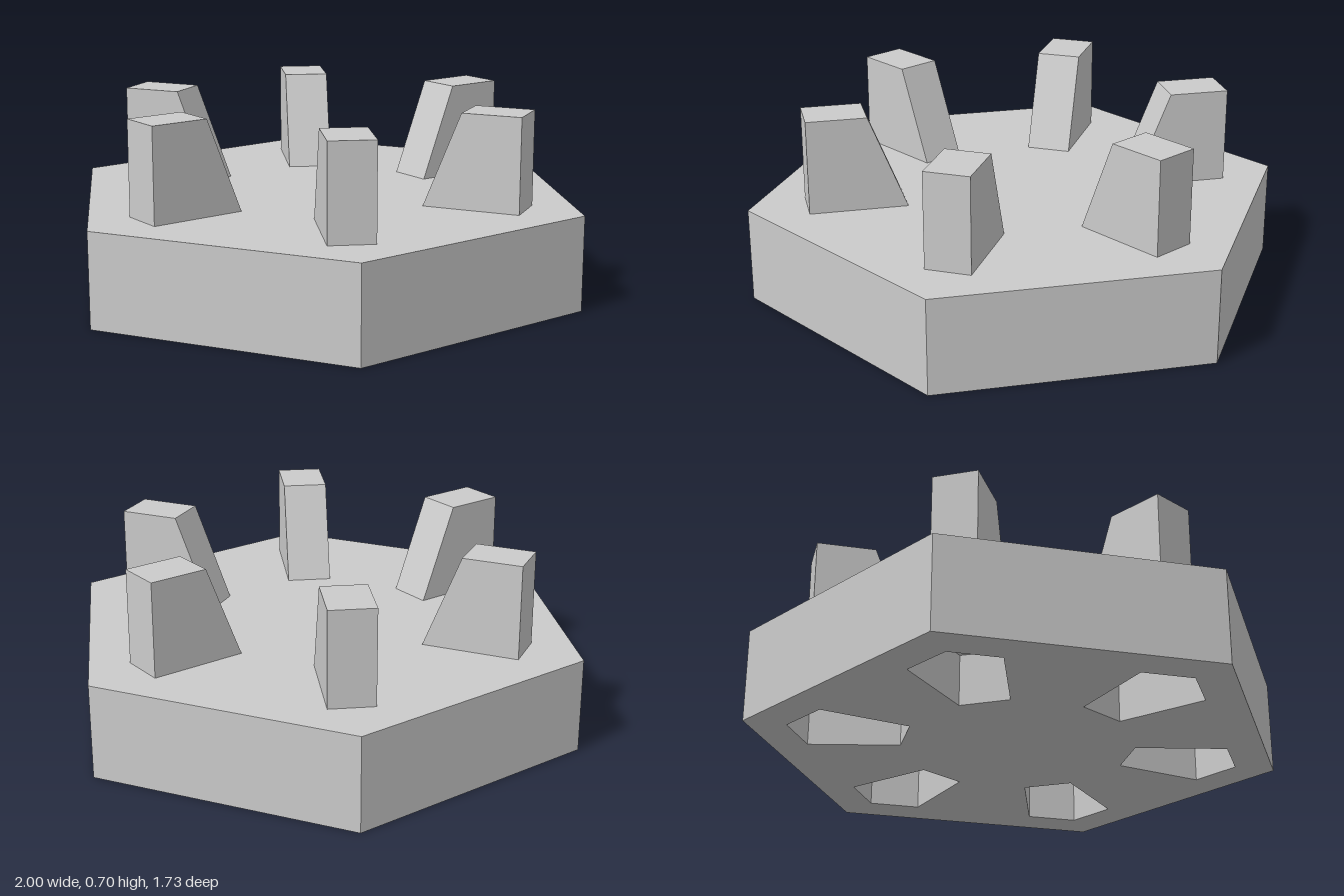
import * as THREE from 'three';

const HEIGHT = 0.35, POCKET_DEPTH = 0.19, TOOTH_TOP = 0.7, TOOTH_WIDTH = 0.166;
const material = new THREE.MeshStandardMaterial({ color: 0xcccccc, flatShading: true });

// Rotate a plan outline (x, z) about the centre
const turn = (points, angle) =>
  points.map((p) => p.clone().rotateAround(new THREE.Vector2(), angle));

// Vertical walls along a closed plan outline; reversing the outline faces them inward
function walls(points, y0, y1) {
  const position = [];
  points.forEach((a, i) => {
    const b = points[(i + 1) % points.length];
    position.push(a.x, y0, a.y, a.x, y1, a.y, b.x, y1, b.y);
    position.push(a.x, y0, a.y, b.x, y1, b.y, b.x, y0, b.y);
  });
  const geometry = new THREE.BufferGeometry();
  geometry.setAttribute('position', new THREE.Float32BufferAttribute(position, 3));
  geometry.computeVertexNormals();
  return geometry;
}

// Flat face looking down at height y
const faceDown = (shape, y) =>
  new THREE.ShapeGeometry(shape).rotateX(Math.PI / 2).translate(0, y, 0);

export function createModel() {
  const model = new THREE.Group();
  const add = (name, geometry) => {
    const mesh = new THREE.Mesh(geometry, material);
    mesh.name = name;
    model.add(mesh);
    return mesh;
  };

  const angles = Array.from({ length: 6 }, (_, i) => (i * Math.PI) / 3);
  const hexagon = angles.map((a) => new THREE.Vector2(Math.cos(a), Math.sin(a)));

  // Five-sided pocket outline pointing at a corner of the base
  const pocket = [[0.42, -0.092], [0.75, -0.165], [0.845, 0], [0.75, 0.165], [0.42, 0.092]]
    .map(([x, z]) => new THREE.Vector2(x, z));

  // Hexagonal base with pockets open underneath
  add('baseSides', walls(hexagon, 0, HEIGHT));
  add('baseTop', new THREE.ShapeGeometry(new THREE.Shape(hexagon))
    .rotateX(-Math.PI / 2).translate(0, HEIGHT, 0));
  const underside = new THREE.Shape(hexagon);
  underside.holes = angles.map((a) => new THREE.Path(turn(pocket, a)));
  add('baseUnderside', faceDown(underside, 0));

  // Tooth profile: upright outside, sloping inside
  const profile = new THREE.Shape([[0.425, HEIGHT], [0.785, HEIGHT], [0.785, TOOTH_TOP], [0.565, TOOTH_TOP]]
    .map(([x, y]) => new THREE.Vector2(x, y)));
  const toothGeometry = new THREE.ExtrudeGeometry(profile, { depth: TOOTH_WIDTH, bevelEnabled: false })
    .translate(0, 0, -TOOTH_WIDTH / 2);

  // One pocket and one tooth towards each corner
  angles.forEach((angle) => {
    const outline = turn(pocket, angle);
    add('pocketCeiling', faceDown(new THREE.Shape(outline), POCKET_DEPTH));
    add('pocketWalls', walls([...outline].reverse(), 0, POCKET_DEPTH));
    add('tooth', toothGeometry).rotation.y = angle;
  });

  return model;
}
